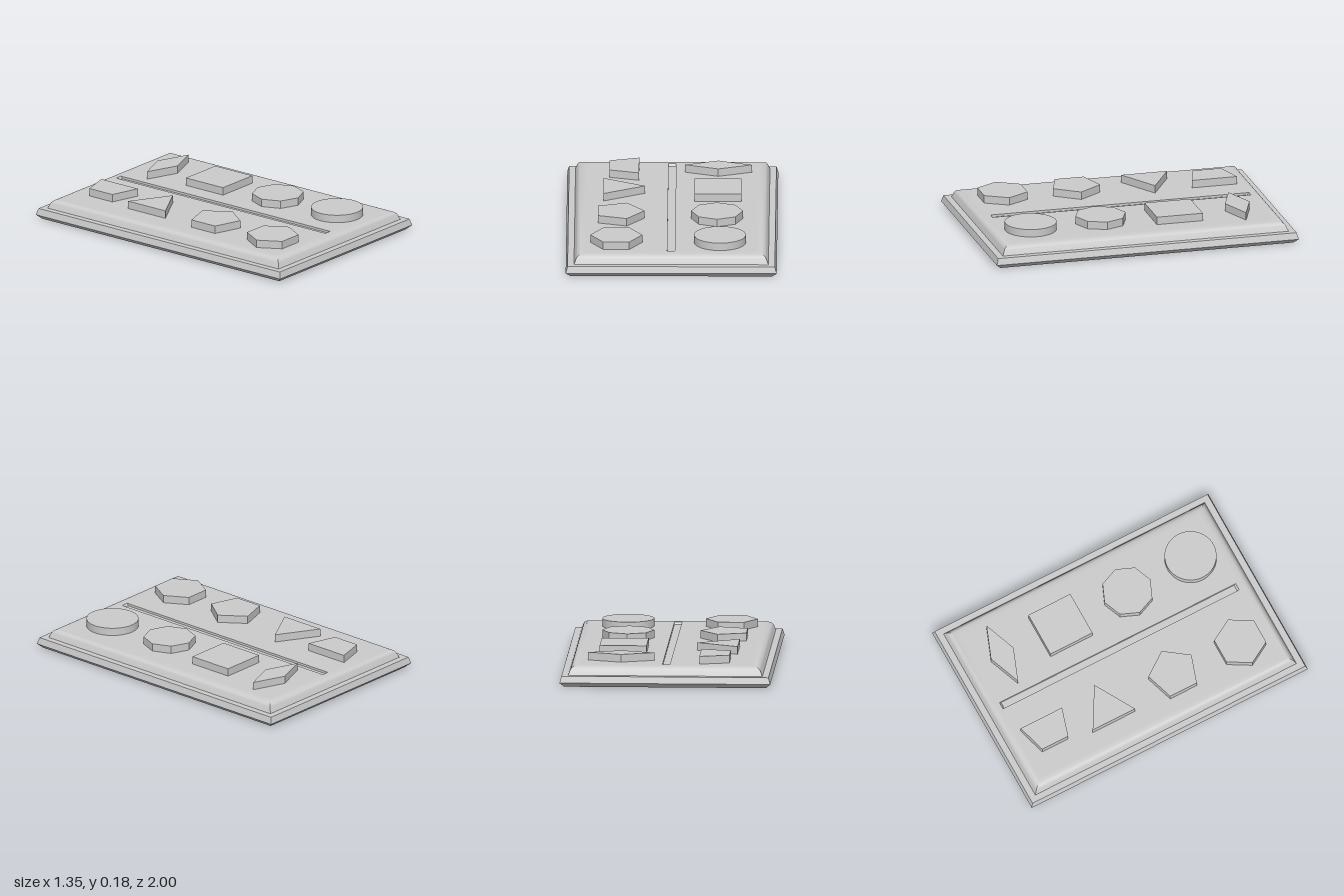
import * as THREE from 'three';
import { toCreasedNormals } from 'three/addons/utils/BufferGeometryUtils.js';

const material = new THREE.MeshStandardMaterial({ color: 0xcccccc });
const TOP = 0.13;

function part(name, geometry, parent) {
  const mesh = new THREE.Mesh(toCreasedNormals(geometry, 0.5), material);
  mesh.name = name;
  parent.add(mesh);
  return mesh;
}

// Joins rectangular rings [halfX, halfZ, y] with mitred corners
function loftRings(rings) {
  const pos = [];
  const corner = ([hx, hz, y], k) => [k % 4 === 1 || k % 4 === 2 ? hx : -hx, y, k % 4 < 2 ? hz : -hz];
  for (let i = 0; i < rings.length - 1; i++) {
    for (let k = 0; k < 4; k++) {
      const a = corner(rings[i], k), b = corner(rings[i], k + 1);
      const c = corner(rings[i + 1], k + 1), d = corner(rings[i + 1], k);
      if (rings[i][0] > 0) pos.push(...a, ...b, ...c);
      if (rings[i + 1][0] > 0) pos.push(...a, ...c, ...d);
      else if (rings[i][0] === 0) continue;
    }
  }
  const geo = new THREE.BufferGeometry();
  geo.setAttribute('position', new THREE.Float32BufferAttribute(pos, 3));
  geo.computeVertexNormals();
  return geo;
}

// Outline on the ground plane from [x, z] pairs
const outline = (pts) => pts.map(([x, z]) => new THREE.Vector2(x, -z));
const rect = (hx, hz) => [[-hx, hz], [hx, hz], [hx, -hz], [-hx, -hz]];
const regular = (n, r, cx, cz) => Array.from({ length: n }, (_, i) => {
  const a = (i / n) * Math.PI * 2;
  return [cx + r * Math.cos(a), cz + r * Math.sin(a)];
});

export function createModel() {
  const model = new THREE.Group();
  model.name = 'shapeBoard';

  // Base tray with chamfered underside
  part('base', loftRings([
    [0, 0, 0], [0.645, 0.97, 0], [0.674, 1, 0.028], [0.662, 0.988, 0.07], [0.621, 0.946, 0.07],
  ]), model);

  // Raised slab with rounded upper edge
  const curve = new THREE.QuadraticBezierCurve(
    new THREE.Vector2(0.012, 0.1), new THREE.Vector2(0.022, TOP), new THREE.Vector2(0.075, TOP));
  const rings = [[0.621, 0.946, 0.07]];
  for (const p of curve.getPoints(10)) rings.push([0.621 - p.x, 0.946 - p.x, p.y]);
  part('slabEdge', loftRings(rings), model);

  // Flat top, open where the groove runs
  const gx = 0.024, gz = 0.856, offX = -0.002, offZ = -0.006;
  const top = new THREE.Shape(outline(rect(0.546, 0.871)));
  top.holes.push(new THREE.Path(outline(rect(gx, gz).map(([x, z]) => [x + offX, z + offZ]))));
  const topGeo = new THREE.ShapeGeometry(top);
  topGeo.rotateX(-Math.PI / 2);
  part('slabTop', topGeo, model).position.y = TOP;

  // Centre groove with sloped ends
  const groove = part('groove', loftRings([
    [gx, gz, TOP], [gx, gz - 0.012, TOP - 0.015], [0, 0, TOP - 0.015],
  ]), model);
  groove.position.set(offX, 0, offZ);

  // Raised shape pieces in two columns
  const pieces = {
    trapezoid: [[-0.403, -0.779], [-0.213, -0.834], [-0.213, -0.534], [-0.403, -0.591]],
    triangle: regular(3, 0.177, -0.351, -0.28),
    pentagon: regular(5, 0.164, -0.338, 0.208),
    hexagon: regular(6, 0.166, -0.352, 0.682),
    rhombus: [[0.079, -0.696], [0.292, -0.778], [0.506, -0.696], [0.292, -0.615]],
    square: rect(0.15, 0.152).map(([x, z]) => [x + 0.293, z - 0.275]),
    octagon: regular(8, 0.166, 0.289, 0.209),
    circle: regular(64, 0.166, 0.31, 0.677),
  };
  const group = new THREE.Group();
  group.name = 'shapePieces';
  for (const [name, pts] of Object.entries(pieces)) {
    const geo = new THREE.ExtrudeGeometry(new THREE.Shape(outline(pts)), { depth: 0.05, bevelEnabled: false });
    geo.rotateX(-Math.PI / 2);
    part(name, geo, group).position.y = TOP;
  }
  model.add(group);
  return model;
}
